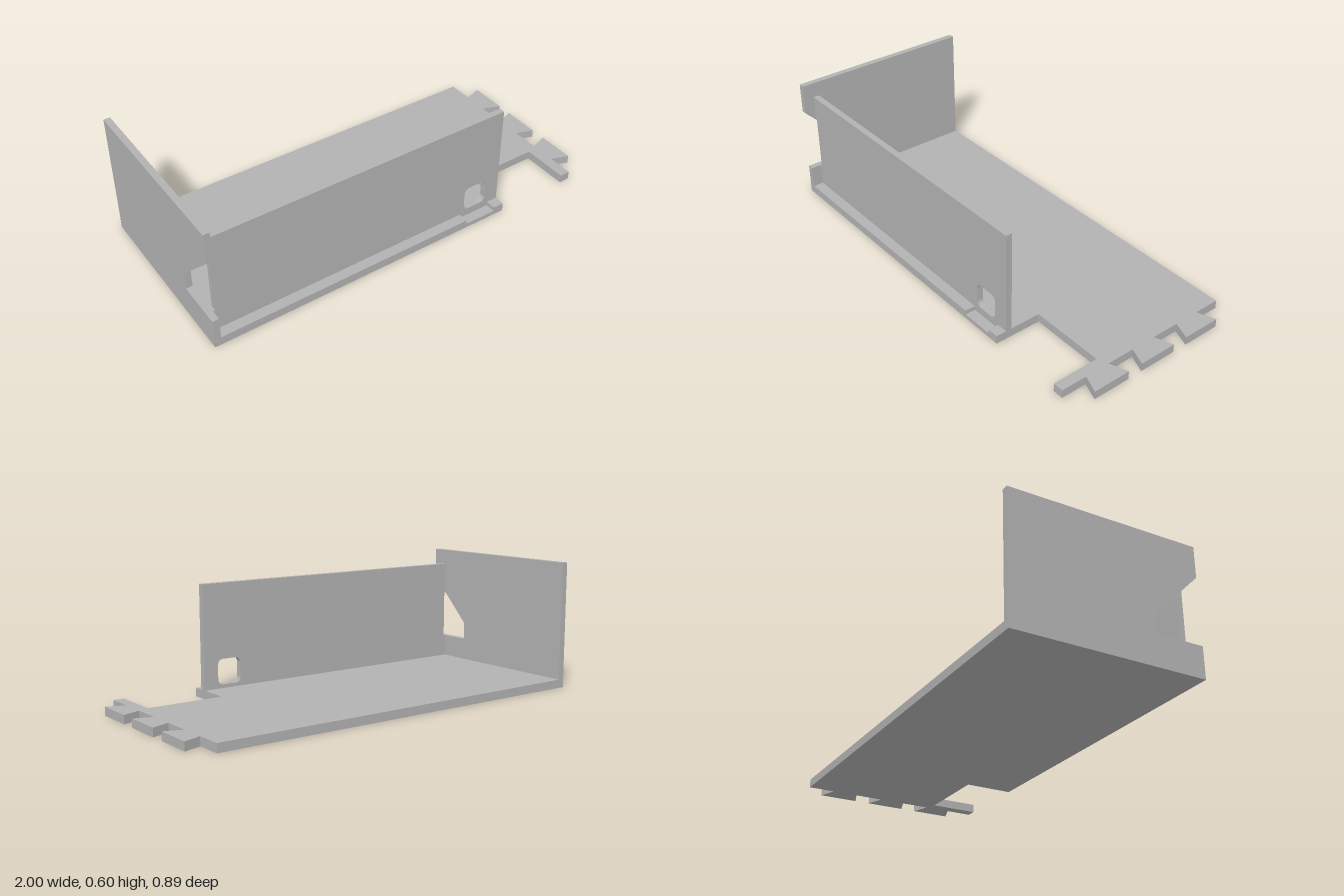
import * as THREE from 'three';

const grey = new THREE.MeshStandardMaterial({ color: 0xb2b2b2 });
grey.name = 'plain grey';

const polygon = (pts) => new THREE.Shape(pts.map(([a, b]) => new THREE.Vector2(a, b)));
const extrude = (shape, depth) =>
  new THREE.ExtrudeGeometry(shape, { depth, bevelEnabled: false, curveSegments: 6 });

// Outline given as (x, z), raised along y
const flat = (pts, y, height) =>
  extrude(polygon(pts.map(([x, z]) => [x, -z])), height).rotateX(-Math.PI / 2).translate(0, y, 0);

// Outline given as (z, y), thickened along x
const upright = (pts, x, width) =>
  extrude(polygon(pts.map(([z, y]) => [-z, y])), width).rotateY(Math.PI / 2).translate(x, 0, 0);

// Rounded square hole centred on (cx, cy)
function roundedHole(cx, cy, half, r) {
  const p = new THREE.Path();
  p.absarc(cx + half - r, cy + half - r, r, 0, Math.PI / 2);
  p.absarc(cx - half + r, cy + half - r, r, Math.PI / 2, Math.PI);
  p.absarc(cx - half + r, cy - half + r, r, Math.PI, Math.PI * 1.5);
  p.absarc(cx + half - r, cy - half + r, r, Math.PI * 1.5, Math.PI * 2);
  p.closePath();
  return p;
}

export function createModel() {
  const model = new THREE.Group();
  model.name = 'openTray';
  const add = (name, geometry) => {
    const mesh = new THREE.Mesh(geometry, grey);
    mesh.name = name;
    model.add(mesh);
  };

  const Z = 0.443, T = 0.04;          // half depth, floor thickness
  const wallBack = 0.363, wallFront = 0.393, edge = 0.915;

  // Floor with dovetail teeth, corner cut-out and a shallow front pocket
  const outline = [[-1, -Z], [edge, -Z]];
  for (const c of [-0.257, 0, 0.257]) {
    outline.push([edge, c - 0.061], [1, c - 0.092], [1, c + 0.092], [edge, c + 0.061]);
  }
  outline.push([edge, Z], [0.865, Z], [0.865, 0.215], [0.503, 0.215], [0.503, Z],
    [0.45, Z], [0.45, wallFront], [0.29, wallFront], [0.29, Z], [-1, Z]);
  add('floor', flat(outline, 0, T));
  add('pocketFloor', flat([[0.29, wallFront], [0.45, wallFront], [0.45, Z], [0.29, Z]], 0, 0.02));

  // Tall end plate with a slanted notch
  add('endPlate', upright([[-Z, T], [Z, T], [Z, 0.145], [0.218, 0.145], [0.218, 0.23],
    [Z, 0.455], [Z, 0.6], [-Z, 0.6]], -1, 0.03));

  // Front wall with a rounded window
  const top = 0.528;
  const wall = polygon([[-0.96, T], [0.503, T], [0.503, top], [-0.96, top]]);
  wall.holes.push(roundedHole(0.37, 0.117, 0.06, 0.027));
  add('frontWall', extrude(wall, wallFront - wallBack).translate(0, 0, wallBack));

  // Wall joints above and below the notch
  add('lowerJoint', upright([[wallBack, T], [wallFront, T], [wallFront, 0.145], [wallBack, 0.145]],
    -0.97, 0.01));
  add('upperJoint', upright([[wallBack, 0.375], [wallFront, 0.405], [wallFront, top], [wallBack, top]],
    -0.97, 0.01));

  return model;
}
